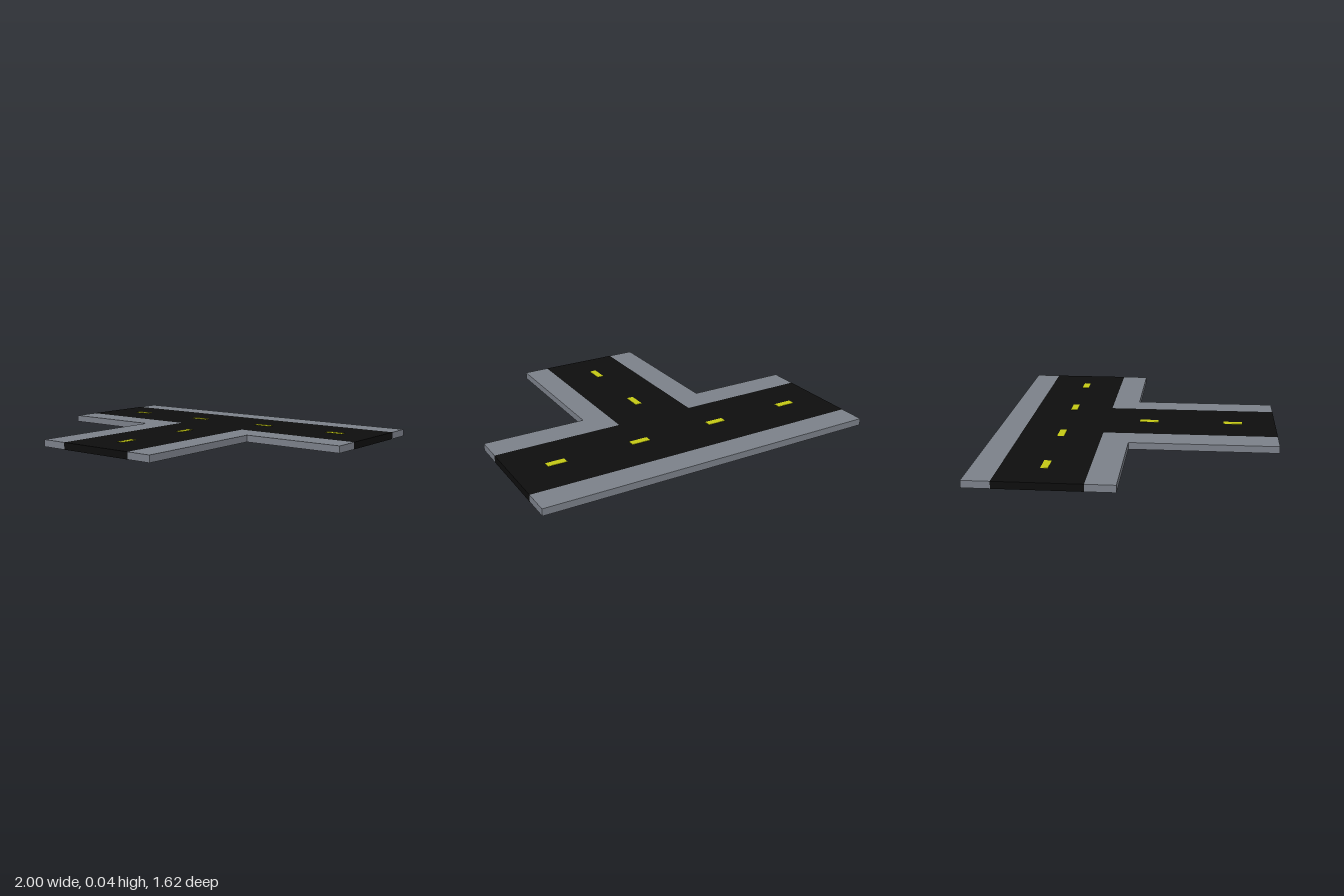
import * as THREE from 'three';

const H = 0.04; // slab thickness

export function createModel() {
  const group = new THREE.Group();
  const asphalt = new THREE.MeshStandardMaterial({ color: 0x0d0d0d });
  const concrete = new THREE.MeshStandardMaterial({ color: 0x7b8089 });
  const paint = new THREE.MeshStandardMaterial({ color: 0xc3c814 });

  // Flat slab from a plan outline of [x, z] points
  function slab(name, points, material) {
    const shape = new THREE.Shape(points.map(([x, z]) => new THREE.Vector2(x, -z)));
    const geometry = new THREE.ExtrudeGeometry(shape, { depth: H, bevelEnabled: false });
    geometry.rotateX(-Math.PI / 2);
    const mesh = new THREE.Mesh(geometry, material);
    mesh.name = name;
    group.add(mesh);
  }

  // T-shaped carriageway
  slab('road', [
    [-1, -0.66], [1, -0.66], [1, -0.19], [0.25, -0.19],
    [0.25, 0.81], [-0.22, 0.81], [-0.22, -0.19], [-1, -0.19],
  ], asphalt);

  // Straight pavement along the back, and one around each corner
  slab('backPavement', [[-1, -0.81], [1, -0.81], [1, -0.66], [-1, -0.66]], concrete);
  const corner = (name, end, inner, outer) => slab(name, [
    [end, -0.19], [inner, -0.19], [inner, 0.81],
    [outer, 0.81], [outer, -0.03], [end, -0.03],
  ], concrete);
  corner('leftCornerPavement', 1, 0.25, 0.4);
  corner('rightCornerPavement', -1, -0.22, -0.38);

  // Painted centre-line dashes
  function dash(name, x, z, w, d) {
    const mesh = new THREE.Mesh(new THREE.BoxGeometry(w, 0.004, d), paint);
    mesh.name = name;
    mesh.position.set(x, H, z);
    group.add(mesh);
  }
  for (const x of [-0.75, -0.25, 0.25, 0.75]) dash('mainRoadDash', x, -0.425, 0.11, 0.04);
  for (const z of [0.06, 0.56]) dash('sideRoadDash', 0.01, z, 0.04, 0.11);

  return group;
}
